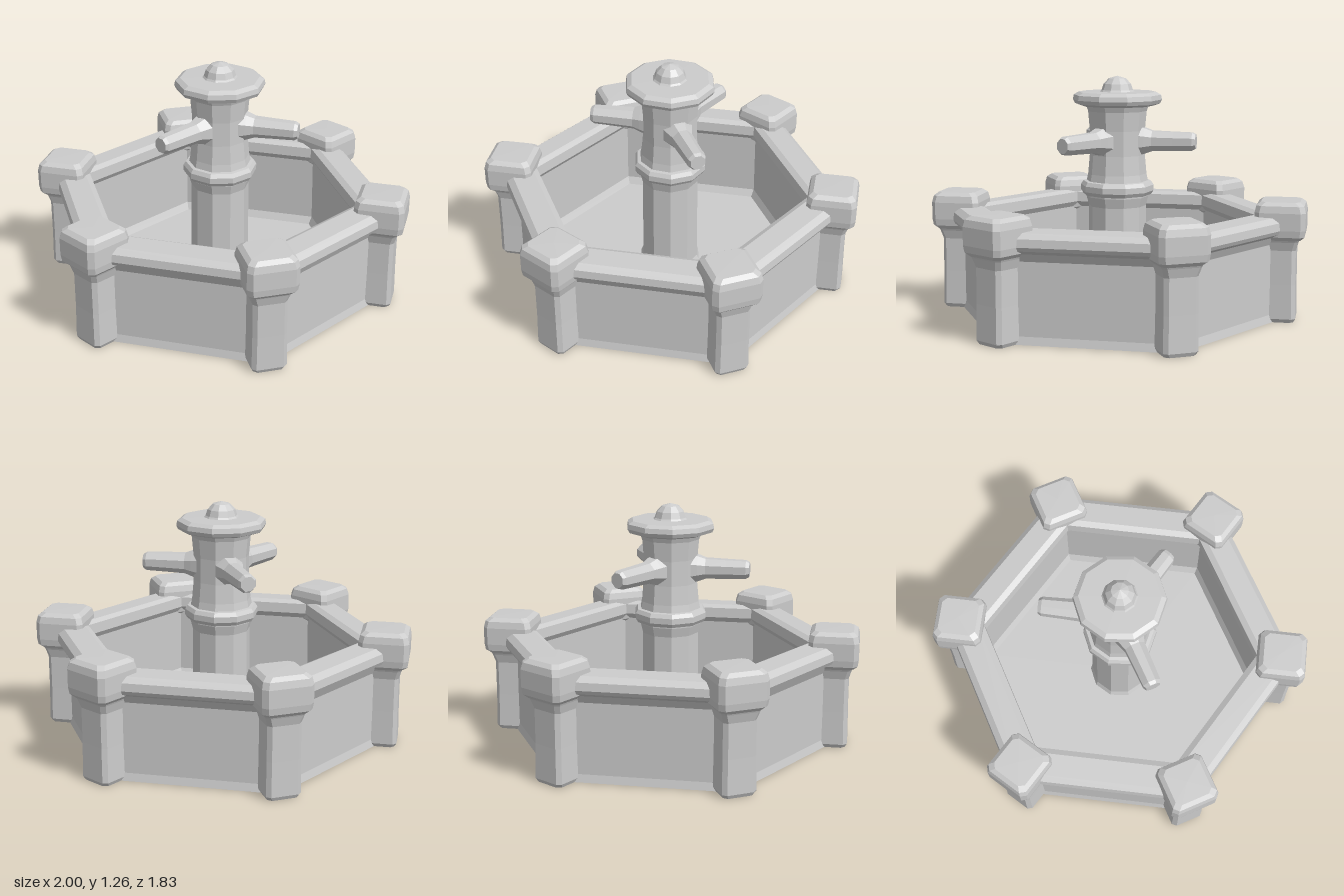
import * as THREE from 'three';

const stone = new THREE.MeshStandardMaterial({ color: 0xcccccc, flatShading: true });

// Faceted solid of revolution from [radius, y] pairs, listed bottom to top
function turned(name, points, sides, phase = 0) {
  const geometry = new THREE.LatheGeometry(points.map(([r, y]) => new THREE.Vector2(r, y)), sides, phase);
  const mesh = new THREE.Mesh(geometry, stone);
  mesh.name = name;
  return mesh;
}

// Square pillar with chamfered corners from [halfWidth, y] pairs
function squared(name, points, chamfer) {
  const mesh = turned(name, points, 8, Math.PI / 8);
  const p = mesh.geometry.attributes.position;
  const side = (v, r, half) => Math.sign(v) * (Math.abs(v) > r * 0.6 ? half : half - Math.min(chamfer, half * 0.4));
  for (let i = 0; i < p.count; i++) {
    const x = p.getX(i), z = p.getZ(i), r = Math.hypot(x, z);
    if (r < 1e-5) continue;
    p.setX(i, side(x, r, r));
    p.setZ(i, side(z, r, r));
  }
  mesh.geometry.computeVertexNormals();
  return mesh;
}

export function createModel() {
  const model = new THREE.Group();
  model.name = 'fountain';

  // Hexagonal basin: outer wall, overhanging rim, inner wall and floor (given as face distances)
  const toCorner = 1 / Math.cos(Math.PI / 6);
  const basin = [
    [0, 0], [0.765, 0], [0.755, 0.04], [0.755, 0.41], [0.775, 0.45], [0.81, 0.47], [0.82, 0.49],
    [0.815, 0.53], [0.785, 0.555], [0.67, 0.56], [0.64, 0.545], [0.635, 0.49], [0.655, 0.46],
    [0.66, 0.1], [0.64, 0.06], [0, 0.06],
  ].map(([a, y]) => [a * toCorner, y]);
  model.add(turned('basin', basin, 6, Math.PI / 2));

  // Corner posts with block caps
  for (let i = 0; i < 6; i++) {
    const corner = new THREE.Group();
    corner.name = 'cornerPost' + (i + 1);
    const shaft = squared('postShaft', [
      [0, 0], [0.08, 0], [0.09, 0.02], [0.087, 0.2], [0.087, 0.38], [0.1, 0.425], [0.115, 0.46], [0, 0.46],
    ], 0.02);
    const cap = squared('postCap', [
      [0, 0.435], [0.105, 0.435], [0.125, 0.455], [0.13, 0.49], [0.13, 0.58], [0.122, 0.615], [0.1, 0.633], [0, 0.635],
    ], 0.025);
    shaft.position.x = 0.863;
    cap.position.x = 0.868;
    corner.add(shaft, cap);
    corner.rotation.y = (i * Math.PI) / 3;
    model.add(corner);
  }

  // Central column with collar, top plate and dome
  model.add(turned('column', [
    [0.17, 0.05], [0.155, 0.09], [0.152, 0.58], [0.165, 0.63], [0.165, 0.7], [0.155, 0.75],
    [0.146, 0.85], [0.146, 0.98], [0.155, 1.08], [0.17, 1.12],
  ], 10));
  model.add(turned('collar', [
    [0.15, 0.635], [0.18, 0.64], [0.193, 0.66], [0.193, 0.69], [0.18, 0.71], [0.15, 0.715],
  ], 10));
  model.add(turned('topPlate', [
    [0, 1.105], [0.19, 1.108], [0.225, 1.12], [0.235, 1.14], [0.23, 1.165], [0.205, 1.18], [0, 1.182],
  ], 10));
  model.add(turned('dome', [
    [0.1, 1.17], [0.083, 1.19], [0.072, 1.222], [0.045, 1.25], [0, 1.263],
  ], 10));

  // Three spouts flaring out where they meet the column
  for (let i = 0; i < 3; i++) {
    const spout = turned('spout' + (i + 1), [
      [0.085, 0.11], [0.072, 0.15], [0.057, 0.19], [0.053, 0.3], [0.05, 0.4], [0.04, 0.418], [0, 0.418],
    ], 8, Math.PI / 8);
    spout.rotation.z = -Math.PI / 2;
    const arm = new THREE.Group();
    arm.name = 'spoutArm' + (i + 1);
    arm.add(spout);
    arm.position.y = 0.925;
    arm.rotation.y = (i * 2 * Math.PI) / 3;
    model.add(arm);
  }
  return model;
}
